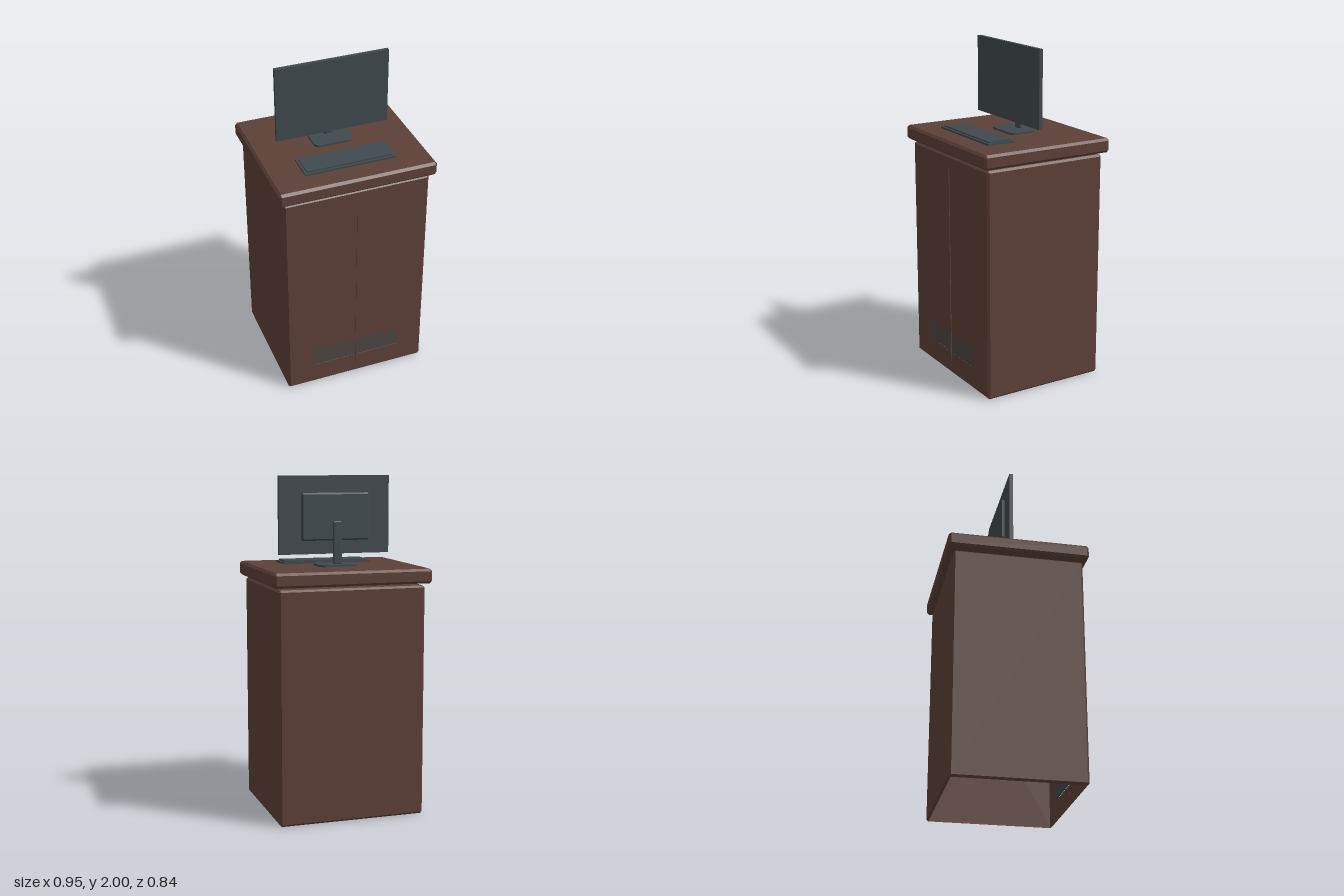
import * as THREE from 'three';

const wood = new THREE.MeshStandardMaterial({ color: 0x5d4037, side: THREE.DoubleSide });
wood.name = 'brown wood';
const plastic = new THREE.MeshStandardMaterial({ color: 0x40494e });
plastic.name = 'slate plastic';

// Box w x h x d standing on y = 0 with chamfered edges; the shell option leaves out the front face and floor.
function chamferBox(w, h, d, c, shell = false) {
  const ring = (y, inset, k) => {
    const x = w / 2 - inset, z = d / 2 - inset;
    return [[x, z - k], [x, k - z], [x - k, -z], [k - x, -z], [-x, k - z], [-x, z - k], [k - x, z], [x - k, z]]
      .map(([px, pz]) => [px, y, pz]);
  };
  const rings = [ring(0, c, 0), ring(c, 0, c), ring(h - c, 0, c), ring(h, c, 0)];
  const pos = [];
  const tri = (...p) => p.forEach((v) => pos.push(...v));
  for (let r = 0; r < 3; r++) {
    for (let i = 0; i < 8; i++) {
      if (shell && r === 1 && i === 6) continue;
      const j = (i + 1) % 8, lo = rings[r], up = rings[r + 1];
      tri(lo[i], lo[j], up[j]);
      tri(lo[i], up[j], up[i]);
    }
  }
  for (let i = 1; i < 7; i++) {
    tri(rings[3][0], rings[3][i], rings[3][i + 1]);
    if (!shell) tri(rings[0][0], rings[0][i + 1], rings[0][i]);
  }
  const g = new THREE.BufferGeometry();
  g.setAttribute('position', new THREE.Float32BufferAttribute(pos, 3));
  g.computeVertexNormals();
  return g;
}

function rect(path, x0, y0, x1, y1) {
  path.moveTo(x0, y0);
  path.lineTo(x1, y0);
  path.lineTo(x1, y1);
  path.lineTo(x0, y1);
  path.closePath();
  return path;
}

// Rounded slab lying flat, for the monitor foot
function roundedSlab(w, d, h, r) {
  const s = new THREE.Shape();
  const x = w / 2 - r, y = d / 2 - r;
  s.absarc(x, y, r, 0, Math.PI / 2);
  s.absarc(-x, y, r, Math.PI / 2, Math.PI);
  s.absarc(-x, -y, r, Math.PI, Math.PI * 1.5);
  s.absarc(x, -y, r, Math.PI * 1.5, Math.PI * 2);
  s.closePath();
  return new THREE.ExtrudeGeometry(s, { depth: h, bevelEnabled: false, curveSegments: 6 }).rotateX(-Math.PI / 2);
}

export function createModel() {
  const model = new THREE.Group();
  model.name = 'computerCabinet';
  const add = (parent, name, geometry, material, x, y, z) => {
    const mesh = new THREE.Mesh(geometry, material);
    mesh.name = name;
    mesh.position.set(x, y, z);
    parent.add(mesh);
    return mesh;
  };
  const group = (name) => {
    const g = new THREE.Group();
    g.name = name;
    model.add(g);
    return g;
  };

  // Hollow cabinet, open underneath, with vent slots cut in the front
  const cabinet = group('cabinet');
  const W = 0.88, H = 1.372, D = 0.772, C = 0.012;
  add(cabinet, 'cabinetShell', chamferBox(W, H, D, C, true), wood, 0, 0, 0);
  const front = rect(new THREE.Shape(), C - W / 2, C, W / 2 - C, H - C);
  for (let i = 0; i < 6; i++) {
    const y = 0.147 + i * 0.022;
    front.holes.push(rect(new THREE.Path(), -0.275, y - 0.006, 0.275, y + 0.006));
  }
  add(cabinet, 'frontPanel', new THREE.ShapeGeometry(front), wood, 0, 0, D / 2);
  add(cabinet, 'ventBacking', new THREE.BoxGeometry(0.57, 0.132, 0.008), plastic, 0, 0.202, 0.376);
  add(cabinet, 'doorSeam', new THREE.BoxGeometry(0.005, 1.21, 0.006), wood, 0, 0.685, 0.387);

  // Overhanging top
  add(model, 'tabletop', chamferBox(0.946, 0.085, 0.838, 0.014), wood, 0, 1.386, 0);

  // Monitor on its stand
  const monitor = group('monitor');
  add(monitor, 'screen', new THREE.BoxGeometry(0.682, 0.46, 0.023), plastic, 0, 1.77, -0.0235);
  add(monitor, 'rearHousing', chamferBox(0.42, 0.28, 0.03, 0.01), plastic, 0, 1.62, -0.05);
  add(monitor, 'standPost', chamferBox(0.054, 0.256, 0.02, 0.007), plastic, 0, 1.48, -0.09);
  add(monitor, 'standFoot', roundedSlab(0.24, 0.175, 0.013, 0.035), plastic, 0, 1.47, -0.0575);

  // Keyboard with a raised key area
  const keyboard = group('keyboard');
  add(keyboard, 'keyboardBase', new THREE.BoxGeometry(0.55, 0.011, 0.175), plastic, 0, 1.4765, 0.197);
  add(keyboard, 'keyArea', new THREE.BoxGeometry(0.52, 0.008, 0.145), plastic, 0, 1.486, 0.197);

  return model;
}
